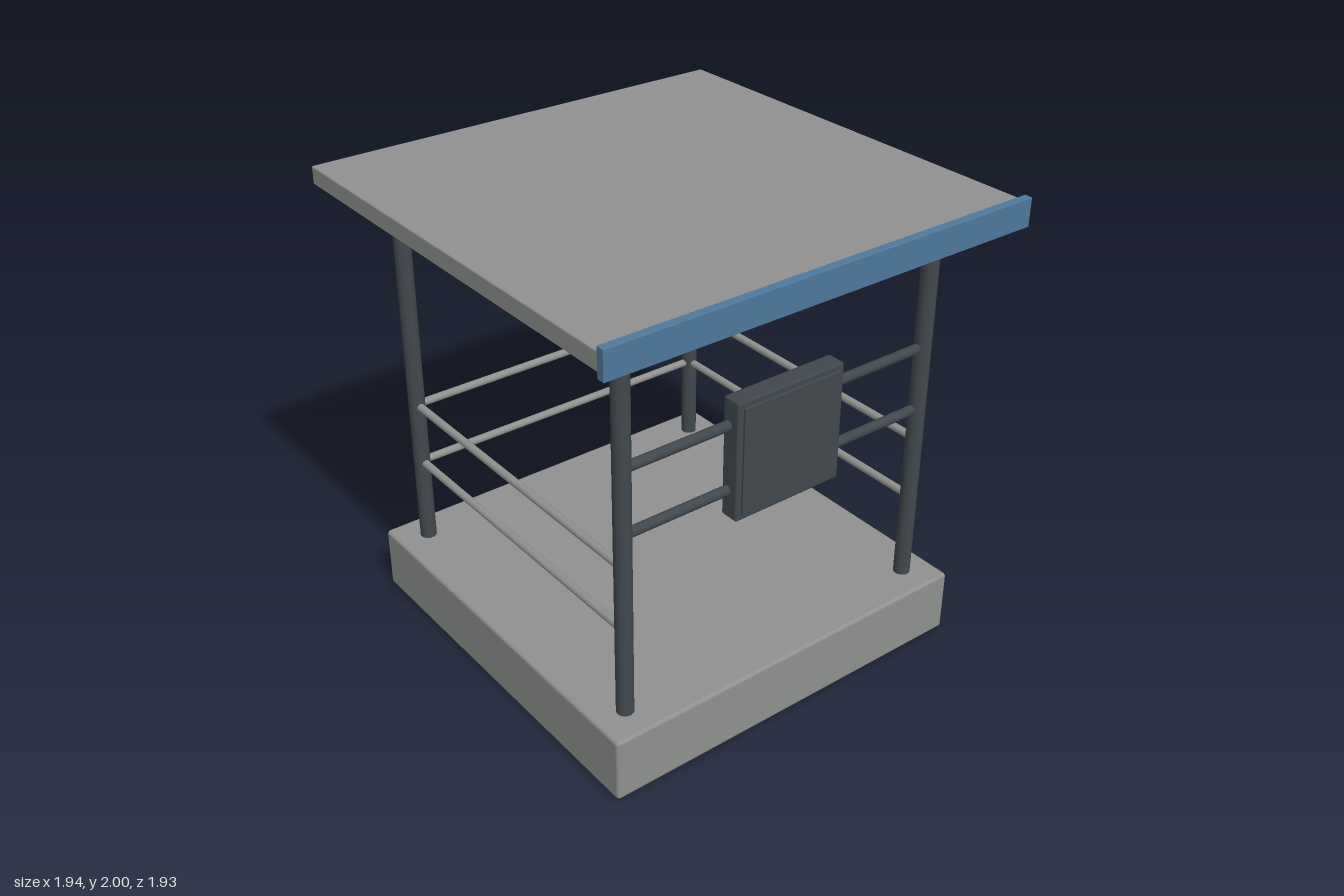
import * as THREE from 'three';
import { RoundedBoxGeometry } from 'three/addons/geometries/RoundedBoxGeometry.js';

export function createModel() {
  const model = new THREE.Group();
  model.name = 'shelter';

  const material = (name, color) => {
    const m = new THREE.MeshStandardMaterial({ color });
    m.name = name;
    return m;
  };
  const grey = material('light grey', 0x8f918f);
  const dark = material('dark metal', 0x41484d);
  const blue = material('blue trim', 0x4d799c);

  const add = (name, geometry, mat, x, y, z) => {
    const mesh = new THREE.Mesh(geometry, mat);
    mesh.name = name;
    mesh.position.set(x, y, z);
    model.add(mesh);
    return mesh;
  };

  // Box given by its extents, with softened edges
  const block = (name, mat, [x0, x1], [y0, y1], [z0, z1], r) =>
    add(name, new RoundedBoxGeometry(x1 - x0, y1 - y0, z1 - z0, 2, r), mat,
      (x0 + x1) / 2, (y0 + y1) / 2, (z0 + z1) / 2);

  // Horizontal round bar along x or z
  const bar = (name, mat, axis, length, r, x, y, z) => {
    const mesh = add(name, new THREE.CylinderGeometry(r, r, length, 16), mat, x, y, z);
    if (axis === 'x') mesh.rotation.z = Math.PI / 2;
    else mesh.rotation.x = Math.PI / 2;
  };

  const cx = -0.0075; // centre of the frame; the trim board shifts it off zero
  const half = 0.7275; // post spacing from the frame centre

  // Plinth and roof slab
  block('base', grey, [-0.87, 0.855], [0, 0.28], [-0.8625, 0.8625], 0.015);
  block('roof', grey, [-0.97, 0.945], [1.904, 1.98], [-0.965, 0.965], 0.006);
  block('roofTrim', blue, [0.932, 0.967], [1.882, 2], [-0.967, 0.967], 0.003);

  // Corner posts
  for (const sx of [-1, 1]) {
    for (const sz of [-1, 1]) {
      add('post', new THREE.CylinderGeometry(0.035, 0.035, 1.65, 24), dark,
        cx + sx * half, 1.09, sz * half);
    }
  }

  // Light rails on the front, back and right-hand sides
  for (const y of [0.66, 0.937]) {
    bar('frontRail', grey, 'x', 2 * half, 0.017, cx, y, half);
    bar('backRail', grey, 'x', 2 * half, 0.017, cx, y, -half);
    bar('sideRail', grey, 'z', 2 * half, 0.017, cx - half, y, 0);
  }

  // Dark rails that carry the panel on the trim side
  for (const y of [1.079, 1.355]) {
    bar('panelRail', dark, 'z', 2 * half, 0.021, cx + half, y, 0);
  }

  // Display panel with a raised face
  block('panelCase', dark, [0.69, 0.774], [0.962, 1.467], [-0.254, 0.254], 0.01);
  block('panelFace', dark, [0.765, 0.784], [0.986, 1.442], [-0.23, 0.23], 0.003);

  return model;
}
